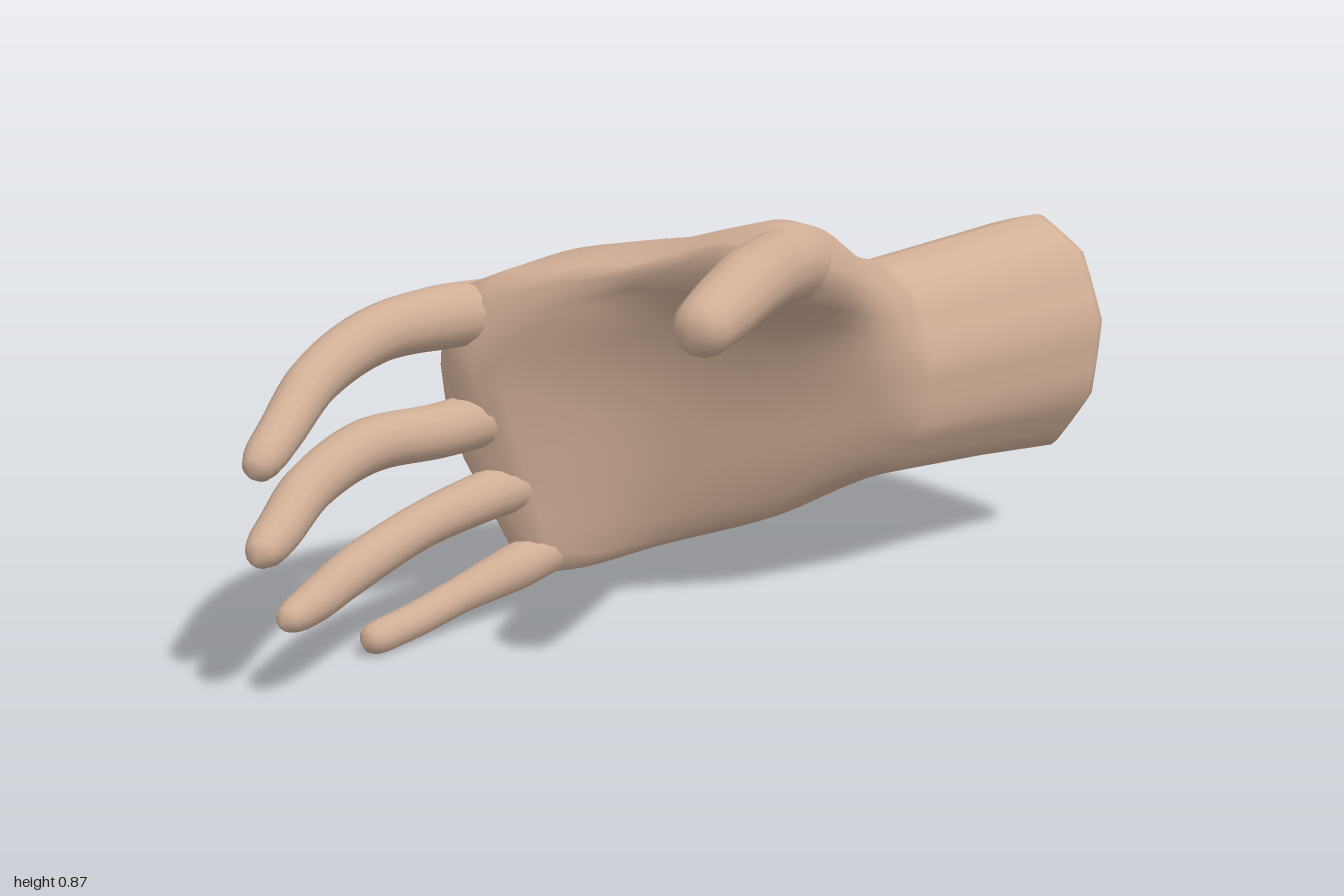
import * as THREE from 'three';
import { mergeVertices } from 'three/addons/utils/BufferGeometryUtils.js';

const V = (p) => new THREE.Vector3(...p);
const AROUND = 30; // points around each palm cross-section

// Lengthwise rails of the palm, in order around the hand
const RAILS = [
  [[0.2, 0.77, -0.2], [0.255, 0.865, 0], [0.255, 0.868, 0.08], [0.2, 0.83, 0.15]],    // thumb top
  [[0.05, 0.78, -0.2], [0, 0.818, 0], [-0.04, 0.812, 0.1], [-0.06, 0.775, 0.18]],     // web top
  [[-0.12, 0.7, -0.2], [-0.27, 0.737, 0], [-0.355, 0.735, 0.15], [-0.365, 0.715, 0.38]], // index knuckle
  [[-0.24, 0.5, -0.2], [-0.37, 0.5, 0], [-0.43, 0.48, 0.17], [-0.43, 0.45, 0.37]],    // back of hand
  [[-0.17, 0.28, -0.2], [-0.3, 0.22, 0], [-0.36, 0.18, 0.15], [-0.365, 0.14, 0.25]],  // little finger knuckle
  [[-0.01, 0.185, -0.2], [-0.18, 0.123, 0], [-0.26, 0.09, 0.14], [-0.305, 0.085, 0.22]], // lower edge
  [[0.1, 0.3, -0.2], [-0.09, 0.26, 0], [-0.22, 0.26, 0.15], [-0.32, 0.33, 0.3]],      // lower palm
  [[0.17, 0.45, -0.2], [0, 0.48, 0], [-0.16, 0.52, 0.15], [-0.31, 0.6, 0.38]],        // palm hollow
  [[0.225, 0.58, -0.2], [0.12, 0.64, 0], [0.01, 0.67, 0.1], [-0.08, 0.72, 0.18]],     // web underside
  [[0.25, 0.69, -0.2], [0.285, 0.745, 0], [0.255, 0.745, 0.08], [0.2, 0.755, 0.14]],  // thumb underside
];

// Fingers as [x, y, z, radius] along the centre line
const FINGERS = {
  indexFinger: [[-0.32, 0.67, 0.14, 0.03], [-0.35, 0.66, 0.28, 0.066], [-0.367, 0.66, 0.42, 0.067],
    [-0.375, 0.648, 0.58, 0.057], [-0.325, 0.6, 0.76, 0.051], [-0.25, 0.53, 0.9, 0.043], [-0.2, 0.475, 1, 0.036]],
  middleFinger: [[-0.34, 0.455, 0.14, 0.03], [-0.37, 0.435, 0.28, 0.06], [-0.39, 0.42, 0.42, 0.057],
    [-0.415, 0.415, 0.58, 0.056], [-0.35, 0.383, 0.77, 0.051], [-0.26, 0.34, 0.91, 0.044], [-0.2, 0.32, 1, 0.036]],
  ringFinger: [[-0.33, 0.3, 0.12, 0.025], [-0.35, 0.28, 0.24, 0.056], [-0.36, 0.265, 0.35, 0.052],
    [-0.365, 0.238, 0.5, 0.047], [-0.34, 0.198, 0.68, 0.047], [-0.28, 0.18, 0.82, 0.041], [-0.225, 0.176, 0.935, 0.03]],
  littleFinger: [[-0.3, 0.18, 0.05, 0.015], [-0.322, 0.13, 0.18, 0.048], [-0.333, 0.105, 0.28, 0.05],
    [-0.348, 0.073, 0.42, 0.038], [-0.353, 0.048, 0.53, 0.036], [-0.345, 0.034, 0.67, 0.034]],
  thumb: [[0.17, 0.72, -0.18, 0.03], [0.212, 0.787, 0, 0.076], [0.272, 0.8, 0.14, 0.07],
    [0.342, 0.8, 0.28, 0.068], [0.392, 0.78, 0.4, 0.063], [0.435, 0.75, 0.525, 0.05]],
};

// Closed loop through the ten rail points, from straight-sided (0) to smooth (1)
function loop(points, roundness) {
  const curve = new THREE.CatmullRomCurve3(points, true);
  const n = points.length;
  return Array.from({ length: AROUND }, (_, k) => {
    const f = (k * n) / AROUND, i = Math.floor(f);
    const flat = points[i].clone().lerp(points[(i + 1) % n], f - i);
    return flat.lerp(curve.getPoint(k / AROUND), roundness);
  });
}

// Ten-sided wrist section; the rear ones lean slightly
function wristPoints(z, cx, cy, rx, ry, lean = 0) {
  return RAILS.map((_, k) => {
    const a = THREE.MathUtils.degToRad(84 + 36 * k);
    const y = cy + ry * Math.sin(a);
    return new THREE.Vector3(cx + rx * Math.cos(a), y, z + lean * (0.757 - y));
  });
}

function indexed(points, index) {
  const g = new THREE.BufferGeometry().setFromPoints(points);
  g.setIndex(index);
  g.computeVertexNormals();
  return g;
}

// Wrist and palm skinned through successive loops
function palmGeometry(rim) {
  const start = wristPoints(-0.42, 0.049, 0.48, 0.178, 0.245);
  const rings = [
    rim,
    loop(wristPoints(-0.99, 0.06, 0.477, 0.21, 0.279, 0.05), 0.15),
    loop(wristPoints(-0.965, 0.06, 0.477, 0.215, 0.285, 0.05), 0.15),
    loop(wristPoints(-0.7, 0.054, 0.479, 0.196, 0.264), 0.15),
  ];
  const curves = RAILS.map((r, k) => new THREE.CatmullRomCurve3([start[k], ...r.map(V)]));
  const steps = 20;
  for (let s = 0; s <= steps; s++) {
    rings.push(loop(curves.map((c) => c.getPoint(s / steps)), Math.min(1, 0.15 + (3 * s) / steps)));
  }

  const index = [];
  for (let i = 0; i < rings.length - 1; i++) {
    for (let j = 0; j < AROUND; j++) {
      const a = i * AROUND + j, b = i * AROUND + ((j + 1) % AROUND);
      index.push(a, b, a + AROUND, b, b + AROUND, a + AROUND);
    }
  }

  // Rounded rim bridging the back edge and the palm edge
  const last = rings.length - 1, o = last * AROUND, m = o + AROUND;
  const middle = (ring, j) => ring[j].clone().add(ring[27 - j]).multiplyScalar(0.5);
  const ridge = [];
  for (let j = 0; j <= 12; j++) {
    const mid = middle(rings[last], j);
    const out = mid.clone().sub(middle(rings[last - 3], j)).setLength(0.025);
    ridge.push(mid.add(out));
  }
  for (let j = 0; j < 12; j++) {
    index.push(o + j, o + j + 1, m + j + 1, o + j, m + j + 1, m + j);
    index.push(m + j, m + j + 1, o + 26 - j, m + j, o + 26 - j, o + 27 - j);
  }
  for (let j = 0; j < 3; j++) {
    index.push(o + 12 + j, o + 13 + j, m + 12);
    index.push(o + 27 + j, o + ((28 + j) % AROUND), m);
  }
  return indexed([...rings.flat(), ...ridge], index);
}

// Tapered tube with a rounded tip
function fingerGeometry(path) {
  const curve = new THREE.CatmullRomCurve3(path.map((p) => V(p.slice(0, 3))));
  const steps = 40, sides = 14, dome = 0.075;
  const g = new THREE.TubeGeometry(curve, steps, 1, sides);
  const pos = g.attributes.position, v = new THREE.Vector3();
  for (let i = 0; i <= steps; i++) {
    const u = i / steps;
    const centre = curve.getPointAt(u);
    const f = curve.getUtoTmapping(u) * (path.length - 1);
    const k = Math.min(Math.floor(f), path.length - 2);
    let r = THREE.MathUtils.lerp(path[k][3], path[k + 1][3], f - k);
    const d = Math.max(0, (u - 1 + dome) / dome);
    r *= Math.sqrt(Math.max(0, 1 - d * d));
    for (let j = 0; j <= sides; j++) {
      const n = i * (sides + 1) + j;
      v.fromBufferAttribute(pos, n).sub(centre).multiplyScalar(r).add(centre);
      pos.setXYZ(n, v.x, v.y, v.z);
    }
  }
  g.deleteAttribute('uv');
  g.deleteAttribute('normal');
  const merged = mergeVertices(g, 1e-5);
  merged.computeVertexNormals();
  return merged;
}

export function createModel() {
  const skin = new THREE.MeshStandardMaterial({ color: 0xd0ae96 });
  skin.name = 'skin';
  const hand = new THREE.Group();
  hand.name = 'hand';
  const add = (name, geometry) => {
    const mesh = new THREE.Mesh(geometry, skin);
    mesh.name = name;
    hand.add(mesh);
  };

  const rim = loop(wristPoints(-1, 0.06, 0.477, 0.195, 0.263, 0.05), 0.15);
  add('palmAndWrist', palmGeometry(rim));

  // Flat end of the wrist
  const centre = new THREE.Vector3(0.06, 0.477, -0.986);
  const fan = rim.flatMap((_, j) => [0, 1 + ((j + 1) % AROUND), 1 + j]);
  add('wristEnd', indexed([centre, ...rim], fan));

  for (const [name, path] of Object.entries(FINGERS)) add(name, fingerGeometry(path));
  return hand;
}
